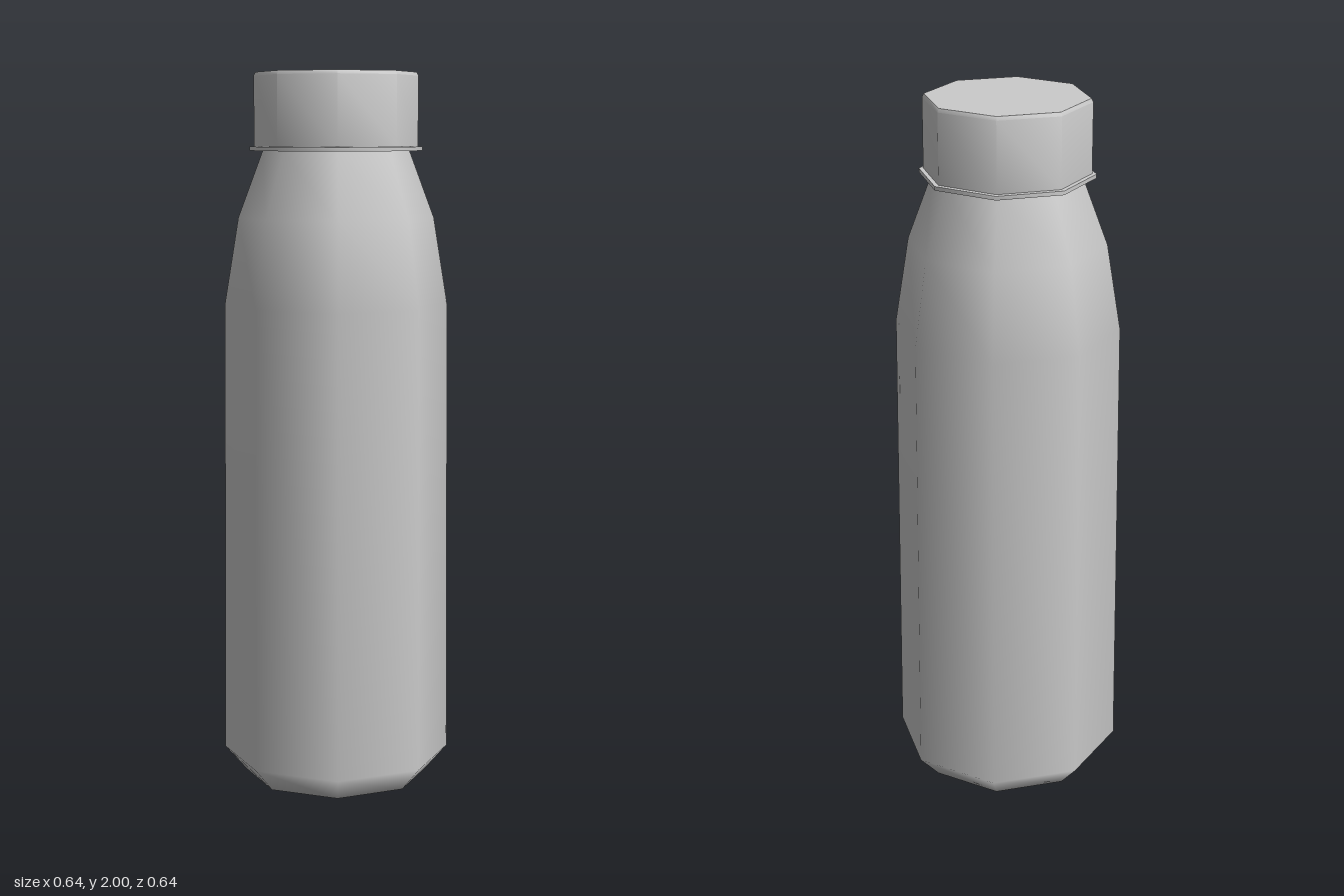
import * as THREE from 'three';
import { toCreasedNormals } from 'three/addons/utils/BufferGeometryUtils.js';

const SIDES = 8;

// Turns a profile of [radius, height] points, listed bottom to top, into an eight-sided part.
function turned(name, profile, crease) {
  const points = profile.map(([r, y]) => new THREE.Vector2(r, y));
  let geometry = new THREE.LatheGeometry(points, SIDES);
  if (crease) geometry = toCreasedNormals(geometry, crease);
  const mesh = new THREE.Mesh(geometry, new THREE.MeshStandardMaterial({ color: 0xcccccc }));
  mesh.name = name;
  return mesh;
}

export function createModel() {
  const bottle = new THREE.Group();
  bottle.name = 'bottle';

  // Smooth body: chamfered base, slightly tapered wall, rounded shoulder and neck
  bottle.add(turned('body', [
    [0, 0], [0.26, 0], [0.322, 0.07], [0.312, 1.36],
    [0.273, 1.6], [0.204, 1.785], [0.2, 1.81],
  ]));

  // Thin collar under the cap
  bottle.add(turned('collar', [
    [0.19, 1.785], [0.24, 1.785], [0.24, 1.796], [0.19, 1.796],
  ], THREE.MathUtils.degToRad(50)));

  // Screw cap with a fine bevel round its top
  bottle.add(turned('cap', [
    [0, 1.797], [0.228, 1.797], [0.228, 1.99], [0.223, 2], [0, 2],
  ], THREE.MathUtils.degToRad(50)));

  return bottle;
}
